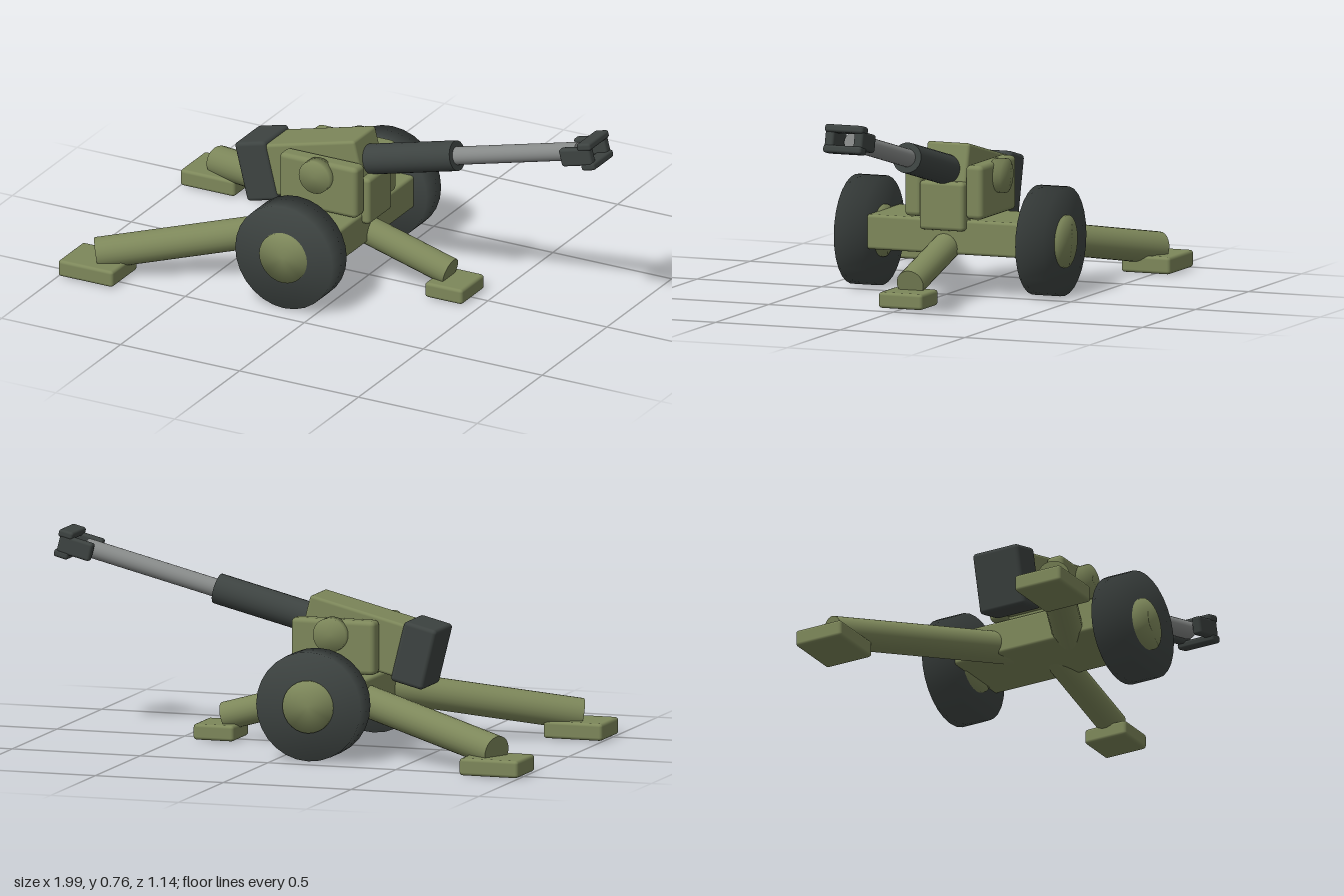
import * as THREE from 'three';
import { RoundedBoxGeometry } from 'three/addons/geometries/RoundedBoxGeometry.js';

const olive = new THREE.MeshStandardMaterial({ name: 'olive paint', color: 0x7d875a });
const dark = new THREE.MeshStandardMaterial({ name: 'dark rubber and steel', color: 0x3d4341 });
const steel = new THREE.MeshStandardMaterial({ name: 'bare steel', color: 0x868988 });

function add(parent, name, geometry, material) {
  const mesh = new THREE.Mesh(geometry, material);
  mesh.name = name;
  parent.add(mesh);
  return mesh;
}

// Rounded box given by its limits on each axis
function box(parent, name, material, [x0, x1], [y0, y1], [z0, z1], radius = 0.012) {
  const geometry = new RoundedBoxGeometry(x1 - x0, y1 - y0, z1 - z0, 2, radius);
  add(parent, name, geometry, material)
    .position.set((x0 + x1) / 2, (y0 + y1) / 2, (z0 + z1) / 2);
}

// Cylinder between two points
function rod(parent, name, material, from, to, radius) {
  const a = new THREE.Vector3(...from);
  const b = new THREE.Vector3(...to);
  const dir = b.clone().sub(a);
  const mesh = add(parent, name, new THREE.CylinderGeometry(radius, radius, dir.length(), 24), material);
  mesh.position.copy(a).add(b).multiplyScalar(0.5);
  mesh.quaternion.setFromUnitVectors(new THREE.Vector3(0, 1, 0), dir.normalize());
}

// Disc across z with soft shading running over its rim
function disc(parent, name, material, x, y, z0, z1, radius) {
  const h = Math.abs(z1 - z0) / 2;
  const profile = [[0, -h], [radius, -h], [radius, h], [0, h]].map(p => new THREE.Vector2(...p));
  const mesh = add(parent, name, new THREE.LatheGeometry(profile, 28), material);
  mesh.rotation.x = Math.PI / 2;
  mesh.position.set(x, y, (z0 + z1) / 2);
}

export function createModel() {
  const model = new THREE.Group();
  model.name = 'fieldGun';

  // Carriage
  box(model, 'axleBeam', olive, [-0.285, 0.02], [0.155, 0.285], [-0.315, 0.315]);
  box(model, 'cradle', olive, [-0.27, 0.05], [0.245, 0.428], [-0.09, 0.09], 0.015);

  // Front support leg and foot
  rod(model, 'frontLeg', olive, [-0.1, 0.21, 0], [0.342, 0.085, 0], 0.053);
  box(model, 'frontFoot', olive, [0.28, 0.438], [0.004, 0.063], [-0.088, 0.088]);

  // Mirrored parts on both sides
  for (const s of [1, -1]) {
    const span = (a, b) => (s > 0 ? [a, b] : [-b, -a]);
    disc(model, 'wheel', dark, -0.13, 0.206, s * 0.308, s * 0.42, 0.204);
    disc(model, 'wheelHub', olive, -0.13, 0.206, s * 0.30, s * 0.43, 0.098);
    box(model, 'sidePlate', olive, [-0.295, 0.032], [0.29, 0.492], span(0.088, 0.157), 0.018);
    disc(model, 'trunnionCap', olive, -0.13, 0.438, s * 0.14, s * 0.187, 0.064);
    rod(model, 'trailLeg', olive, [-0.15, 0.22, s * 0.105], [-0.886, 0.085, s * 0.475], 0.06);
    box(model, 'trailFoot', olive, [-1, -0.77], [0.004, 0.068], span(0.373, 0.568));
  }

  // Elevated gun, built along +x and tilted up
  const gun = new THREE.Group();
  gun.name = 'gun';
  gun.position.set(0, 0.468, 0);
  gun.rotation.z = THREE.MathUtils.degToRad(14);
  model.add(gun);
  box(gun, 'receiver', olive, [-0.4, 0.006], [-0.1, 0.102], [-0.086, 0.086]);
  box(gun, 'breech', dark, [-0.505, -0.373], [-0.115, 0.117], [-0.097, 0.097], 0.015);
  rod(gun, 'barrelSleeve', dark, [-0.05, 0, 0], [0.382, 0, 0], 0.057);
  rod(gun, 'barrel', steel, [0.36, 0, 0], [0.91, 0, 0], 0.034);

  // Open muzzle brake frame
  for (const s of [1, -1]) {
    const span = (a, b) => (s > 0 ? [a, b] : [-b, -a]);
    box(gun, 'muzzleSideBar', dark, [0.868, 1.0], [-0.034, 0.034], span(0.04, 0.076), 0.01);
    box(gun, 'muzzleCrossBar', dark, [0.95, 1.008], span(0.024, 0.053), [-0.077, 0.077], 0.01);
  }

  return model;
}
